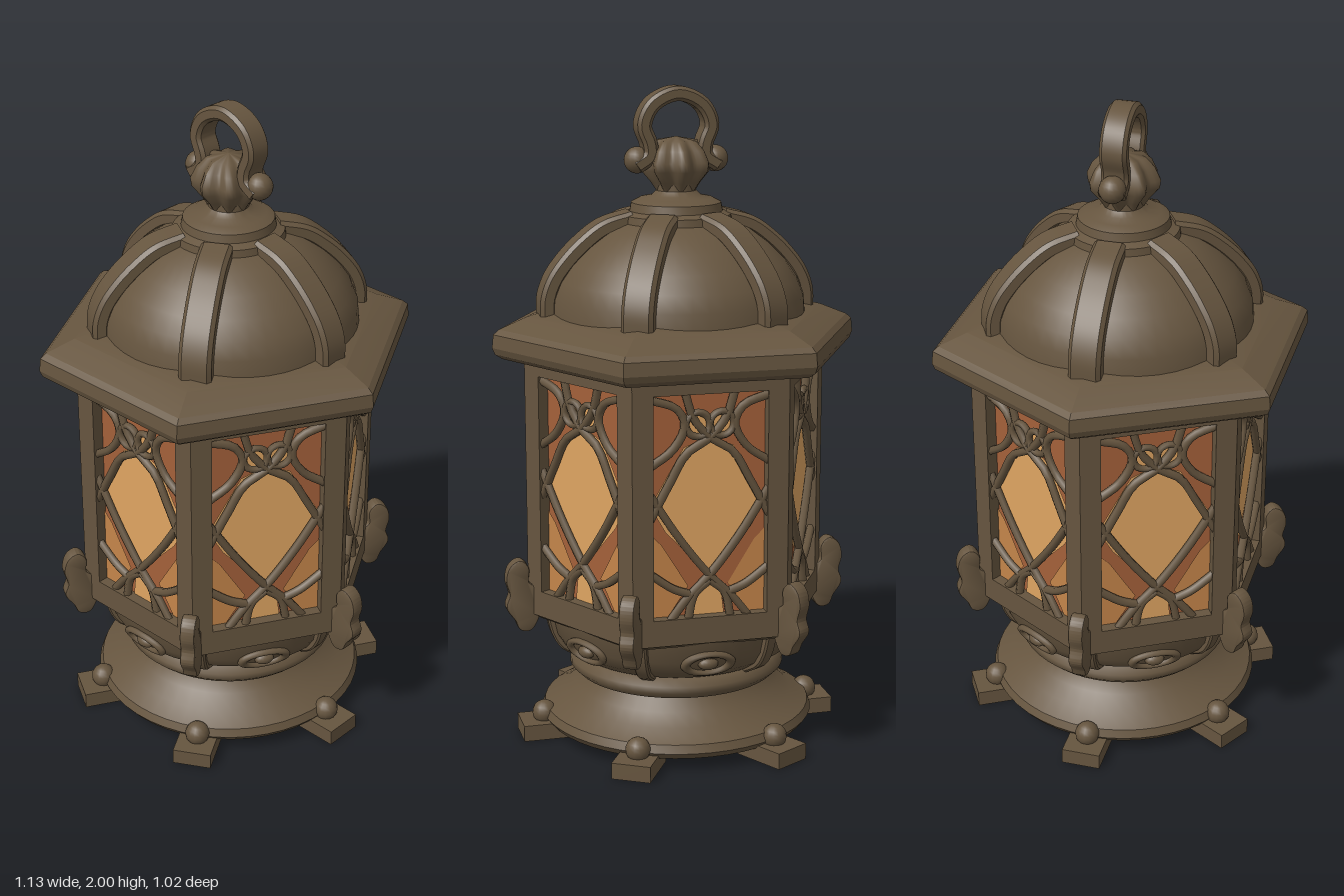
import * as THREE from 'three';
import { toCreasedNormals } from 'three/addons/utils/BufferGeometryUtils.js';

const mat = (name, color) => {
  const m = new THREE.MeshStandardMaterial({ color });
  m.name = name;
  return m;
};
const v2 = (p) => new THREE.Vector2(p[0], p[1]);

export function createModel() {
  const bronze = mat('bronze', 0x66553f);
  const amber = mat('amberGlass', 0xdfa562);
  const honey = mat('honeyGlass', 0xc4854a);
  const rust = mat('rustGlass', 0xa4603a);

  const model = new THREE.Group();
  model.name = 'lantern';

  const add = (parent, name, geometry, material = bronze, x = 0, y = 0, z = 0) => {
    const mesh = new THREE.Mesh(geometry, material);
    mesh.name = name;
    mesh.position.set(x, y, z);
    parent.add(mesh);
    return mesh;
  };
  // Turned part; six segments put the corners on the x axis
  const turned = (profile, segments = 48, crease = 0.6) =>
    toCreasedNormals(new THREE.LatheGeometry(profile.map(v2), segments, Math.PI / 6), crease);
  // Chamfered strap swept along a path in the xy plane, its width along z
  const strap = (points, halfW, halfT, steps = 28) => {
    const c = halfT * 0.45;
    const section = new THREE.Shape([
      [-halfW, -halfT + c], [-halfW + c, -halfT], [halfW - c, -halfT], [halfW, -halfT + c],
      [halfW, halfT - c], [halfW - c, halfT], [-halfW + c, halfT], [-halfW, halfT - c]].map(v2));
    const path = new THREE.CatmullRomCurve3(points.map(([x, y]) => new THREE.Vector3(x, y, 0)));
    return toCreasedNormals(
      new THREE.ExtrudeGeometry(section, { steps, extrudePath: path, bevelEnabled: false }), 0.6);
  };
  const tube = (points, radius) => new THREE.TubeGeometry(
    new THREE.CatmullRomCurve3(points.map(([x, y]) => new THREE.Vector3(x, y, 0))), 14, radius, 6);
  const plate = (points) => new THREE.ShapeGeometry(new THREE.Shape(points.map(v2)));

  // Flared base, ring moulding and bowl
  add(model, 'baseSkirt', turned([[0, 0.04], [0.41, 0.04], [0.425, 0.06], [0.415, 0.085], [0.36, 0.115],
    [0.32, 0.15], [0.29, 0.185], [0.28, 0.21]]));
  add(model, 'baseRing', turned([[0.27, 0.185], [0.315, 0.195], [0.335, 0.215], [0.335, 0.235],
    [0.315, 0.255], [0.27, 0.265]], 48, 1));
  add(model, 'bowl', turned([[0.27, 0.25], [0.32, 0.262], [0.36, 0.29], [0.385, 0.33], [0.4, 0.4]], 48, 1));

  // Hexagonal body floor and roof brim
  add(model, 'bodyFloor', turned([[0, 0.39], [0.455, 0.39], [0.467, 0.402], [0.467, 0.43], [0, 0.43]], 6, 0.3));
  const brim = add(model, 'roofBrim', turned([[0, 1.2], [0.535, 1.2], [0.558, 1.215], [0.566, 1.235],
    [0.562, 1.275], [0.545, 1.29], [0.46, 1.325], [0.4, 1.34], [0, 1.34]], 6, 0.3));
  brim.scale.z = 1.04;

  // Dome and collar
  add(model, 'dome', turned([[0.39, 1.32], [0.385, 1.38], [0.365, 1.43], [0.33, 1.48], [0.28, 1.53],
    [0.22, 1.575], [0.15, 1.605], [0, 1.62]]));
  add(model, 'collar', turned([[0.15, 1.57], [0.168, 1.595], [0.165, 1.62], [0.14, 1.63], [0.135, 1.655],
    [0.11, 1.668], [0.075, 1.675], [0.06, 1.69], [0.06, 1.73]]));

  // Finial bulb with eight lobes
  const bulb = new THREE.LatheGeometry([[0.055, 1.69], [0.07, 1.715], [0.097, 1.75], [0.1, 1.775],
    [0.085, 1.81], [0.06, 1.838], [0, 1.85]].map(v2), 64);
  const bp = bulb.attributes.position;
  for (let i = 0; i < bp.count; i++) {
    const s = 1 + 0.11 * Math.cos(8 * Math.atan2(bp.getX(i), bp.getZ(i)));
    bp.setX(i, bp.getX(i) * s);
    bp.setZ(i, bp.getZ(i) * s);
  }
  bulb.computeVertexNormals();
  add(model, 'finialBulb', bulb);

  // Hanging shackle with end knobs
  add(model, 'hangingLoop', strap([[-0.125, 1.765], [-0.085, 1.795], [-0.085, 1.83], [-0.103, 1.885],
    [-0.075, 1.945], [0, 1.977], [0.075, 1.945], [0.103, 1.885], [0.085, 1.83], [0.085, 1.795],
    [0.125, 1.765]], 0.04, 0.022, 48));
  for (const s of [-1, 1]) {
    add(model, 'loopKnob', new THREE.SphereGeometry(0.04, 16, 12), bronze, s * 0.12, 1.782, 0);
  }

  // Parts repeated on the six corners
  const scroll = new THREE.Shape();
  scroll.moveTo(0.44, 0.4);
  scroll.splineThru([[0.465, 0.355], [0.495, 0.355], [0.51, 0.385], [0.535, 0.425], [0.525, 0.465],
    [0.535, 0.51], [0.525, 0.55], [0.497, 0.568], [0.475, 0.545], [0.475, 0.5], [0.44, 0.48]].map(v2));
  const scrollGeo = toCreasedNormals(new THREE.ExtrudeGeometry(scroll, {
    depth: 0.03, curveSegments: 30, bevelSize: 0.006, bevelThickness: 0.008, bevelSegments: 2 }), 0.7);
  scrollGeo.translate(0, 0, -0.015);
  const ribGeo = strap([[0.4, 1.325], [0.398, 1.38], [0.378, 1.435], [0.34, 1.488], [0.288, 1.54],
    [0.225, 1.585], [0.14, 1.61]], 0.048, 0.025);
  const bowlRibGeo = strap([[0.405, 0.395], [0.388, 0.33], [0.362, 0.288], [0.31, 0.258]], 0.022, 0.012, 12);
  for (let k = 0; k < 6; k++) {
    const corner = new THREE.Group();
    corner.name = 'corner' + (k + 1);
    corner.rotation.y = k * Math.PI / 3;
    model.add(corner);
    add(corner, 'domeRib', ribGeo);
    add(corner, 'bowlRib', bowlRibGeo);
    add(corner, 'scrollBracket', scrollGeo);
    add(corner, 'foot', new THREE.BoxGeometry(0.17, 0.05, 0.12), bronze, 0.415, 0.025, 0);
    add(corner, 'footKnob', new THREE.SphereGeometry(0.038, 14, 10), bronze, 0.425, 0.07, 0);
  }

  // Window frame, lattice and glass shared by the six sides
  const frame = new THREE.Shape([[-0.235, 0.4], [0.235, 0.4], [0.235, 1.21], [-0.235, 1.21]].map(v2));
  frame.holes.push(new THREE.Path([[-0.172, 0.48], [-0.172, 1.152], [0.172, 1.152], [0.172, 0.48]].map(v2)));
  const frameGeo = new THREE.ExtrudeGeometry(frame, { depth: 0.04, bevelEnabled: false });
  const bars = [
    [[-0.18, 0.86], [-0.09, 0.72], [0, 0.605], [0.07, 0.535], [0.12, 0.47]],
    [[-0.18, 0.78], [-0.12, 0.89], [-0.07, 0.975], [0, 1.02], [0.05, 1.08], [0.075, 1.16]],
    [[-0.18, 0.94], [-0.11, 0.99], [-0.075, 1.06], [-0.1, 1.11], [-0.18, 1.14]],
    [[-0.065, 0.47], [-0.045, 0.55], [0, 0.59]],
    [[-0.18, 0.62], [-0.11, 0.57], [-0.06, 0.55]],
  ];
  const lattice = bars.flatMap((bar) => [1, -1].map((s) => tube(bar.map(([x, y]) => [s * x, y]), 0.013)));
  const glassBack = plate([[-0.19, 0.46], [0.19, 0.46], [0.19, 1.17], [-0.19, 1.17]]);
  const glassDiamond = plate([[-0.175, 0.82], [-0.13, 0.74], [0, 0.6], [0.13, 0.74], [0.175, 0.82],
    [0.075, 0.99], [0, 1.02], [-0.075, 0.99]]);
  const glassFoot = plate([[-0.05, 0.47], [0.05, 0.47], [0.04, 0.55], [0, 0.58], [-0.04, 0.55]]);
  const sidePane = [[0.18, 0.47], [0.18, 0.74], [0.14, 0.7], [0.06, 0.57], [0.12, 0.48]];

  for (let k = 0; k < 6; k++) {
    const side = new THREE.Group();
    side.name = 'side' + (k + 1);
    side.rotation.y = k * Math.PI / 3;
    model.add(side);
    add(side, 'windowFrame', frameGeo, bronze, 0, 0, 0.367);
    lattice.forEach((g) => add(side, 'latticeBar', g, bronze, 0, 0, 0.39));
    add(side, 'glassBack', glassBack, rust, 0, 0, 0.37);
    add(side, 'glassDiamond', glassDiamond, amber, 0, 0, 0.375);
    add(side, 'glassFoot', glassFoot, amber, 0, 0, 0.375);
    for (const s of [-1, 1]) {
      const pts = sidePane.map(([x, y]) => [s * x, y]);
      add(side, 'glassSidePane', plate(s > 0 ? pts : pts.reverse()), honey, 0, 0, 0.374);
      add(side, 'latticeRing', new THREE.TorusGeometry(0.036, 0.011, 6, 20), bronze, s * 0.036, 1.06, 0.39);
      add(side, 'glassRoundel', new THREE.CircleGeometry(0.036, 18), amber, s * 0.036, 1.06, 0.376);
    }

    // Almond-shaped carving on the bowl
    const carving = new THREE.Group();
    carving.name = 'bowlCarving';
    carving.position.set(0, 0.325, 0.38);
    carving.rotation.x = 0.45;
    side.add(carving);
    const rim = add(carving, 'carvingRim', new THREE.TorusGeometry(0.05, 0.011, 8, 28));
    rim.scale.set(1.4, 0.75, 1);
    const boss = add(carving, 'carvingBoss', new THREE.SphereGeometry(0.024, 14, 10));
    boss.scale.set(1.3, 0.8, 0.8);
    for (const s of [-1, 1]) {
      const leaf = add(side, 'bowlLeaf', tube([[s * 0.05, 0.03], [s * 0.095, 0.02], [s * 0.12, -0.03]], 0.01),
        bronze, 0, 0.34, 0.37);
      leaf.rotation.y = s * 0.25;
    }
  }
  return model;
}
